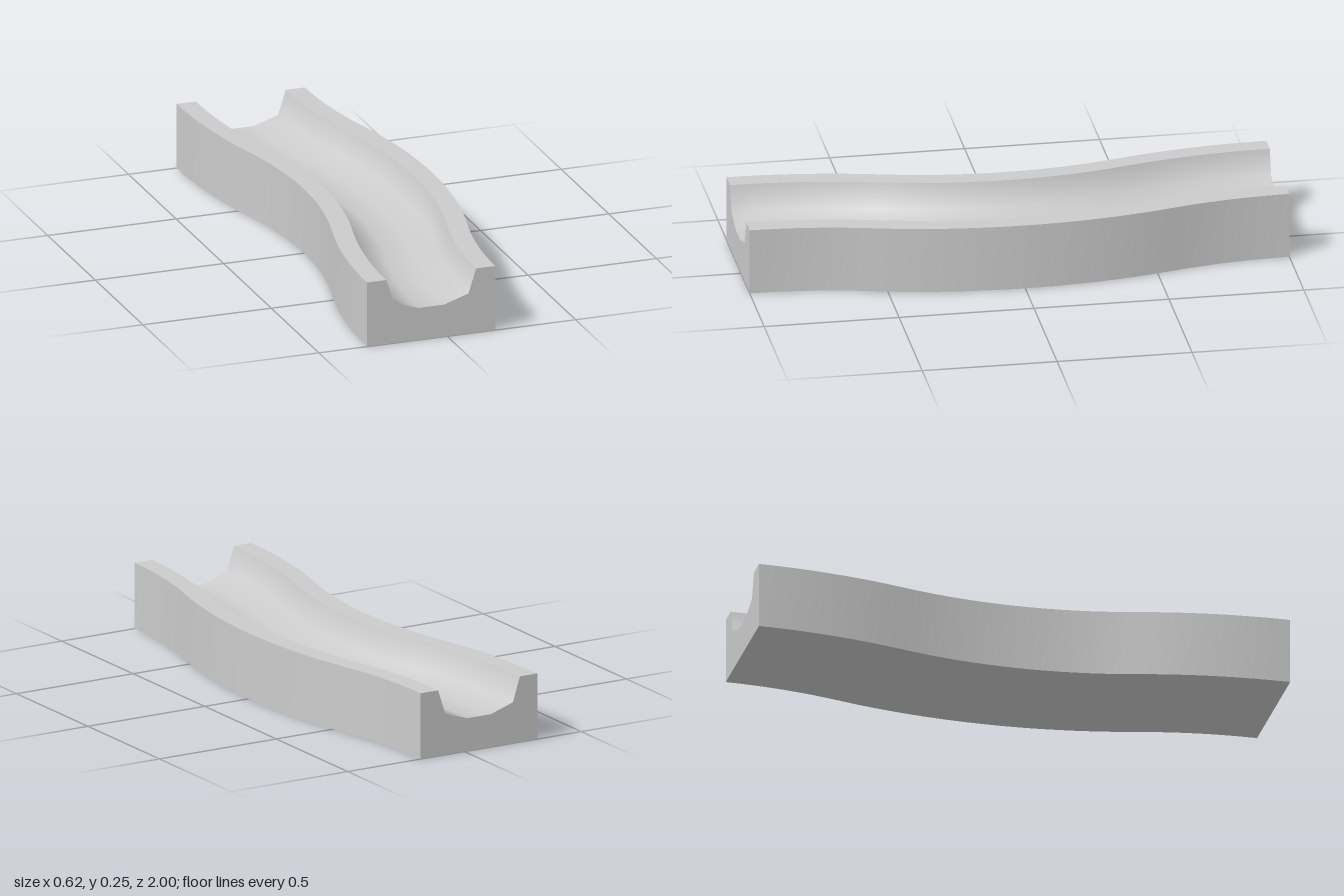
import * as THREE from 'three';
import { toCreasedNormals } from 'three/addons/utils/BufferGeometryUtils.js';

// Centre line: gentle S-bends made of tangent arcs, mirrored front to back
const SHIFT = 0.0625;                        // sideways offset at the ends and the middle
const THETA = 2 * Math.atan(SHIFT / 0.5);    // heading where the arcs meet
const RADIUS = 0.5 / Math.sin(THETA);

function centreLine(t) {                     // t from -1 to 1 along the length
  const d = Math.abs(t), s = Math.sign(t);
  const nearEnd = d > 0.5;
  const a = THETA * 2 * (nearEnd ? 1 - d : d);
  const bow = RADIUS * (1 - Math.cos(a));
  const run = RADIUS * Math.sin(a);
  return {
    x: nearEnd ? -SHIFT + bow : SHIFT - bow,
    z: s * (nearEnd ? 1 - run : run),
    heading: -s * a,
  };
}

export function createModel() {
  const group = new THREE.Group();
  group.name = 'curvedTrack';

  // Block cross-section with a channel cut in the top
  const half = [[0.25, 0], [0.25, 0.25], [0.175, 0.25], [0.145, 0.156], [0.05, 0.125]];
  const mirrored = half.map(([x, y]) => [-x, y]).reverse();
  const section = new THREE.Shape([...half, ...mirrored].map(([x, y]) => new THREE.Vector2(x, y)));

  const geometry = new THREE.ExtrudeGeometry(section, { depth: 2, steps: 32, bevelEnabled: false });

  // Bend the straight block square to the centre line
  const p = geometry.attributes.position;
  for (let i = 0; i < p.count; i++) {
    const c = centreLine(p.getZ(i) - 1);
    const offset = p.getX(i);
    p.setX(i, c.x + offset * Math.cos(c.heading));
    p.setZ(i, c.z - offset * Math.sin(c.heading));
  }

  const track = new THREE.Mesh(
    toCreasedNormals(geometry, THREE.MathUtils.degToRad(60)),
    new THREE.MeshStandardMaterial({ color: 0xcccccc })
  );
  track.name = 'channelBlock';
  group.add(track);
  return group;
}
